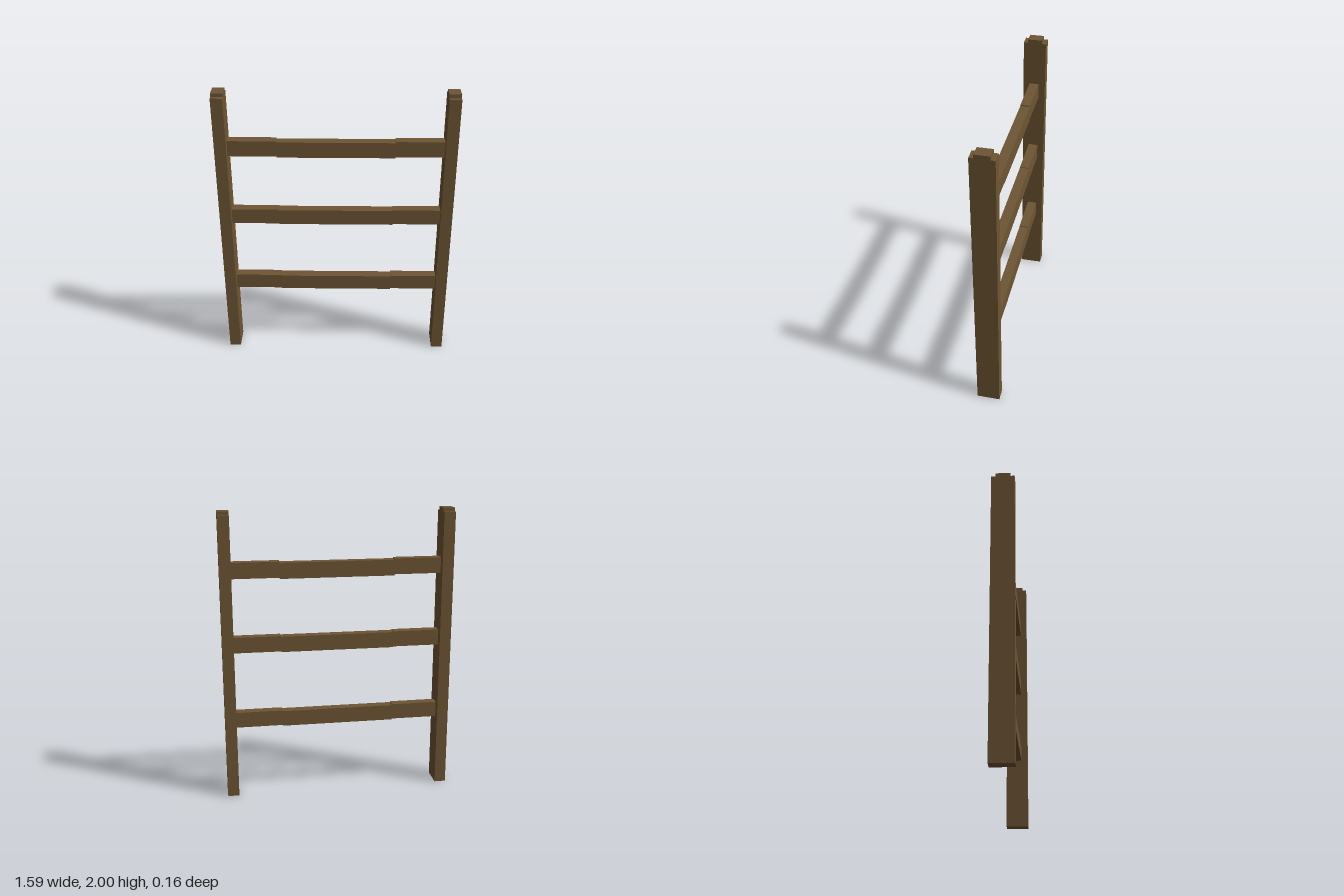
import * as THREE from 'three';

export function createModel() {
  const model = new THREE.Group();
  const wood = new THREE.MeshStandardMaterial({ color: 0x6f5634 });
  wood.name = 'brown wood';

  // Adds a box spanning x0..x1, y0..y1 and centred on z = 0
  function addBeam(name, x0, x1, y0, y1, depth) {
    const mesh = new THREE.Mesh(new THREE.BoxGeometry(x1 - x0, y1 - y0, depth), wood);
    mesh.position.set((x0 + x1) / 2, (y0 + y1) / 2, 0);
    mesh.name = name;
    model.add(mesh);
  }

  // Upright posts with stepped tops
  const inner = 0.717, outer = 0.796;
  const postShape = new THREE.Shape([
    [-0.078, 0], [0.078, 0], [0.078, 1.975], [0.049, 1.975],
    [0.049, 2], [-0.049, 2], [-0.049, 1.975], [-0.078, 1.975],
  ].map(([z, y]) => new THREE.Vector2(z, y)));
  const postGeometry = new THREE.ExtrudeGeometry(postShape, { depth: outer - inner, bevelEnabled: false });
  postGeometry.translate(0, 0, -(outer - inner) / 2);
  postGeometry.rotateY(Math.PI / 2);
  for (const [side, name] of [[1, 'leftPost'], [-1, 'rightPost']]) {
    const post = new THREE.Mesh(postGeometry, wood);
    post.position.x = side * (inner + outer) / 2;
    post.name = name;
    model.add(post);
  }

  // Rails: raised end pieces and a slightly sagging middle, [end bottom, sag]
  const joint = 0.393, height = 0.109, depth = 0.066;
  [[0.499, 0.006], [1.04, 0.005], [1.553, 0.008]].forEach(([y, sag], i) => {
    const name = ['lower', 'middle', 'upper'][i] + 'Rail';
    addBeam(name + 'Centre', -joint, joint, y - sag, y - sag + height, depth);
    addBeam(name + 'LeftEnd', joint, inner, y, y + height, depth);
    addBeam(name + 'RightEnd', -inner, -joint, y, y + height, depth);
  });

  return model;
}
